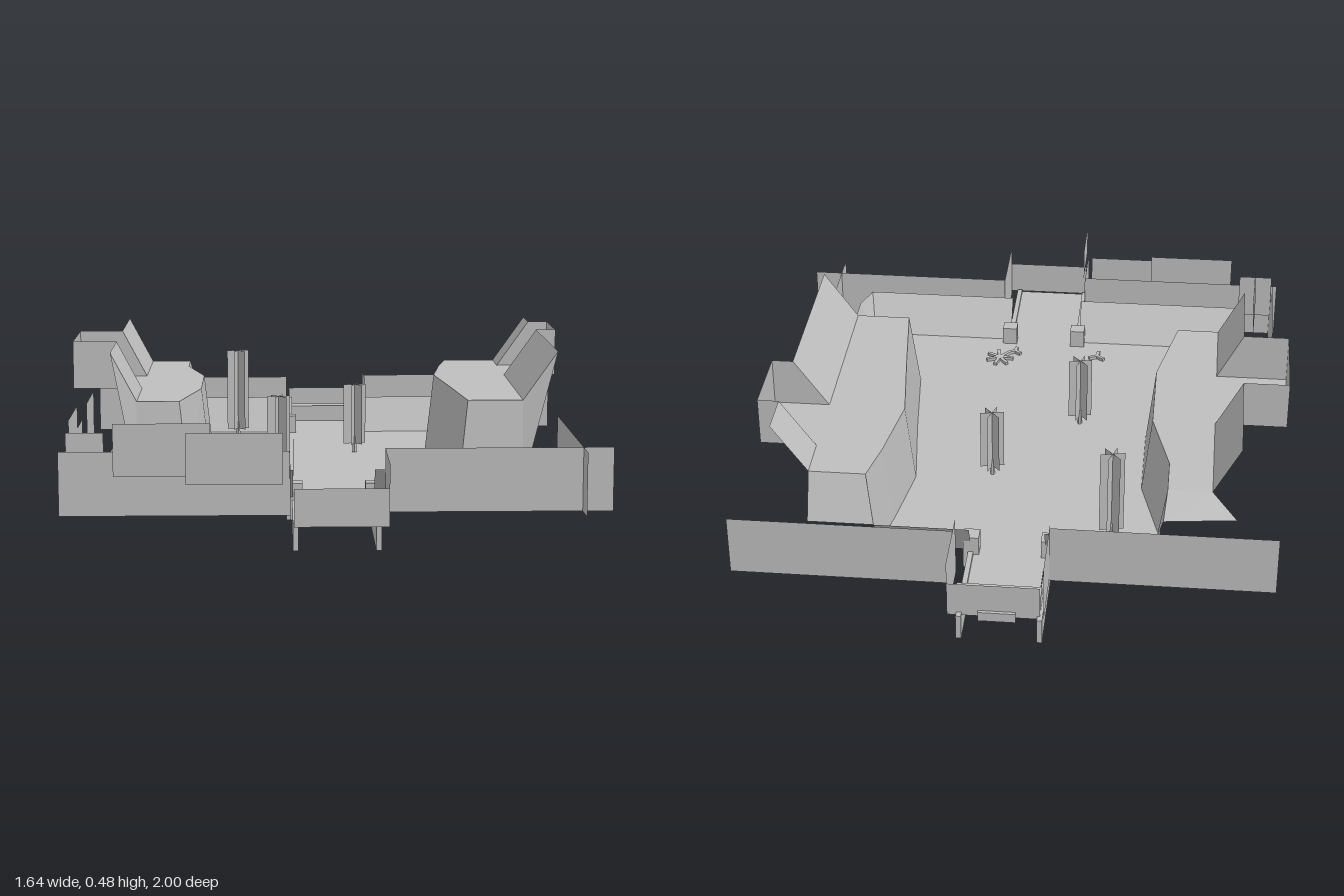
import * as THREE from 'three';

export function createModel() {
  const model = new THREE.Group();
  const stone = new THREE.MeshStandardMaterial({ color: 0xbebebe, side: THREE.DoubleSide, flatShading: true });
  stone.name = 'plain grey';
  const GROUND = 0.07, TOP = 0.325, CREST = 0.477, RIM = 0.185;

  function add(name, geometry, parent = model) {
    const mesh = new THREE.Mesh(geometry, stone);
    mesh.name = name;
    parent.add(mesh);
    return mesh;
  }
  function box(name, x0, x1, y0, y1, z0, z1, parent) {
    const g = new THREE.BoxGeometry(x1 - x0, y1 - y0, z1 - z0);
    return add(name, g.translate((x0 + x1) / 2, (y0 + y1) / 2, (z0 + z1) / 2), parent);
  }
  // Sheet stretched between two matching lines of points
  function sheet(name, a, b, parent) {
    const pos = [], index = [];
    a.forEach((p, i) => pos.push(...p, ...b[i]));
    for (let i = 0; i < a.length - 1; i++) {
      const k = i * 2;
      index.push(k, k + 1, k + 2, k + 1, k + 3, k + 2);
    }
    const g = new THREE.BufferGeometry();
    g.setAttribute('position', new THREE.Float32BufferAttribute(pos, 3));
    g.setIndex(index);
    const flat = g.toNonIndexed();
    flat.computeVertexNormals();
    return add(name, flat, parent);
  }
  // Upright cards facing z or x
  const cardZ = (name, x0, x1, y0, y1, z) => sheet(name, [[x0, y0, z], [x1, y0, z]], [[x0, y1, z], [x1, y1, z]]);
  const cardX = (name, x, z0, z1, y0, y1) => sheet(name, [[x, y0, z0], [x, y0, z1]], [[x, y1, z0], [x, y1, z1]]);

  // Foot lines of the two banks, as [x, z] from back to front
  const rightFoot = [[0.40, -0.66], [0.37, -0.52], [0.335, -0.29], [0.37, 0], [0.40, 0.30]];
  const leftFoot = [[-0.44, -0.66], [-0.44, -0.52], [-0.38, -0.29], [-0.38, 0], [-0.44, 0.30]];

  // Floor between the banks, widening at the front, and the two bridge decks
  sheet('floor', leftFoot.map(([x, z]) => [x, GROUND, z]), rightFoot.map(([x, z]) => [x, GROUND, z]));
  const deck = (name, x0, x1, z0, z1) =>
    sheet(name, [[x0, GROUND, z0], [x0, GROUND, z1]], [[x1, GROUND, z0], [x1, GROUND, z1]]);
  deck('frontFloor', -0.60, 0.60, 0.30, 0.59);
  deck('frontBridgeDeck', -0.12, 0.12, 0.59, 0.935);
  deck('backBridgeDeck', -0.11, 0.115, -0.95, -0.66);

  // Sloping rims around the floor
  const rim = (name, a, b, c, d) => sheet(name,
    [[a[0], GROUND, a[1]], [b[0], GROUND, b[1]]], [[c[0], RIM, c[1]], [d[0], RIM, d[1]]]);
  rim('frontLeftRim', [0.12, 0.59], [0.60, 0.59], [0.12, 0.68], [0.62, 0.68]);
  rim('frontRightRim', [-0.60, 0.59], [-0.12, 0.59], [-0.675, 0.68], [-0.12, 0.68]);
  rim('leftSideRim', [0.60, 0.30], [0.60, 0.59], [0.65, 0.30], [0.65, 0.59]);
  rim('leftCornerRim', [0.60, 0.59], [0.60, 0.59], [0.65, 0.59], [0.62, 0.68]);
  rim('rightSideRim', [-0.60, 0.30], [-0.60, 0.59], [-0.675, 0.30], [-0.675, 0.68]);
  rim('backLeftRim', [0.115, -0.66], [0.40, -0.66], [0.115, -0.72], [0.40, -0.72]);
  rim('backRightRim', [-0.44, -0.66], [-0.11, -0.66], [-0.44, -0.72], [-0.11, -0.72]);

  // Hollow raised bank: inner wall, top, outer slope and a square alcove
  function bank(name, s, foot, crestX, alcoveX, z0, z1) {
    const g = new THREE.Group();
    g.name = name;
    model.add(g);
    const last = foot.length - 1;
    const low = foot.map(([x, z]) => [x, GROUND, z]);
    const lip = foot.map(([x, z], i) => [x + s * 0.028, TOP, i === last ? 0.27 : z]);
    const outer = lip.map(p => [s * 0.60, TOP, p[2]]);
    sheet('innerWall', low, lip, g);
    sheet('bankTop', lip, outer, g);
    sheet('endWall', [low[last], [s * 0.60, GROUND, 0.30]], [lip[last], outer[last]], g);
    sheet('endWing', [[s * 0.60, GROUND, 0.30], [s * 0.60, GROUND, 0.30]],
      [outer[last], [s * crestX, CREST, 0.27]], g);
    for (const [a, b] of [[-0.66, z0], [z1, 0.27]]) {
      sheet('outerSlope', [[s * 0.60, TOP, a], [s * 0.60, TOP, b]],
        [[s * crestX, CREST, a], [s * crestX, CREST, b]], g);
    }
    sheet('alcoveFloor', [[s * 0.60, TOP, z0], [s * 0.60, TOP, z1]],
      [[s * alcoveX, TOP, z0], [s * alcoveX, TOP, z1]], g);
    sheet('alcoveBack', [[s * alcoveX, TOP, z0], [s * alcoveX, TOP, z1]],
      [[s * alcoveX, CREST, z0], [s * alcoveX, CREST, z1]], g);
    for (const z of [z0, z1]) {
      sheet('alcoveSide', [[s * 0.60, TOP, z], [s * alcoveX, TOP, z]],
        [[s * crestX, CREST, z], [s * alcoveX, CREST, z]], g);
    }
  }
  bank('leftBank', 1, rightFoot, 0.707, 0.772, -0.52, -0.29);
  bank('rightBank', -1, leftFoot, 0.68, 0.82, -0.29, -0.01);

  // Back ends of the banks
  sheet('leftBankBack', [[0.428, TOP, -0.66], [0.60, TOP, -0.66]], [[0.40, RIM, -0.72], [0.60, RIM, -0.72]]);
  sheet('leftBankBackCorner', [[0.40, GROUND, -0.66], [0.40, GROUND, -0.66]],
    [[0.428, TOP, -0.66], [0.40, RIM, -0.72]]);
  sheet('rightBankBack', [[-0.468, TOP, -0.66], [-0.60, TOP, -0.66]], [[-0.46, 0.27, -0.745], [-0.675, 0.27, -0.72]]);
  sheet('rightBankBackCorner', [[-0.44, GROUND, -0.66], [-0.468, TOP, -0.66]],
    [[-0.44, RIM, -0.72], [-0.46, 0.27, -0.745]]);

  // Tall backdrop cards around the outside
  cardZ('frontLeftBackdrop', 0.15, 0.82, 0.06, 0.25, 0.69);
  cardZ('frontRightBackdrop', -0.80, -0.13, 0.06, 0.25, 0.73);
  cardZ('backLeftBackdrop', 0.15, 0.82, 0.06, 0.25, -0.82);
  cardZ('backRightBackdrop', -0.80, -0.13, 0.06, 0.25, -0.78);
  cardX('leftBackdrop', 0.73, 0.11, 0.78, 0.06, 0.25);
  cardX('rightBackdrop', -0.78, 0.14, 0.73, 0.06, 0.25);
  cardZ('farRightCard', -0.64, -0.36, 0.18, 0.335, 0.75);
  cardZ('nearRightCard', -0.43, -0.15, 0.16, 0.31, 0.77);
  cardZ('cornerCard', -0.78, -0.67, 0.15, 0.30, 0.70);
  cardX('rightLowCard', -0.78, 0.31, 0.60, 0.15, 0.32);
  cardX('rightHighCard', -0.72, 0.41, 0.66, 0.22, 0.38);
  cardX('bridgeHighCard', -0.12, 0.80, 1.0, 0.21, 0.32);

  // Cards enclosing the bridges
  for (const [end, z0, z1] of [['front', 0.69, 0.94], ['back', -0.98, -0.76]]) {
    cardX(end + 'BridgeLeftCard', 0.15, z0, z1, 0.06, 0.25);
    cardX(end + 'BridgeRightCard', -0.13, z0, z1, 0.06, 0.25);
    cardZ(end + 'BridgeEndCard', -0.12, 0.15, 0.07, 0.18, end === 'front' ? z1 : z0);
  }

  // Bridge rails and square posts
  for (const x of [-0.115, 0.12]) {
    box('frontRail', x - 0.008, x + 0.008, 0, 0.08, 0.60, 0.93);
    box('frontPost', x - 0.024, x + 0.024, 0.02, 0.13, 0.56, 0.605);
    box('backRail', x - 0.013, x + 0.003, 0, 0.08, -1.0, -0.65);
    box('backPost', x - 0.03, x + 0.018, 0.02, 0.13, -0.685, -0.637);
  }
  box('backLintel', -0.12, 0.13, 0.065, 0.125, -0.95, -0.90);
  box('backStep', -0.05, 0.06, 0.06, 0.09, -0.99, -0.95);

  // Trees: a thin trunk with crossed upright cards
  for (const [x, z, height] of [[-0.30, -0.56, 0.375], [0.095, -0.25, 0.30], [-0.16, 0.07, 0.31]]) {
    const tree = new THREE.Group();
    tree.name = 'tree';
    tree.position.set(x, 0, z);
    add('trunk', new THREE.CylinderGeometry(0.006, 0.008, 0.07, 5).translate(0, 0.09, 0), tree);
    for (let i = 0; i < 3; i++) {
      const leaf = add('foliage', new THREE.PlaneGeometry(0.075, height - 0.10), tree);
      leaf.position.y = (height + 0.10) / 2;
      leaf.rotation.y = i * Math.PI / 3 + 0.2;
    }
    model.add(tree);
  }

  // Low star-shaped plants made from thin bars
  for (const [x, z, r, n] of [[0.145, 0.455, 0.047, 7], [-0.19, 0.49, 0.03, 3], [0.095, 0.50, 0.024, 3]]) {
    for (let i = 0; i < n; i++) {
      const spoke = add('plantLeaf', new THREE.BoxGeometry(r, 0.012, 0.011).translate(r / 2, 0, 0));
      spoke.position.set(x, 0.074, z);
      spoke.rotation.y = i * Math.PI * 2 / n + 0.4;
    }
  }
  return model;
}
